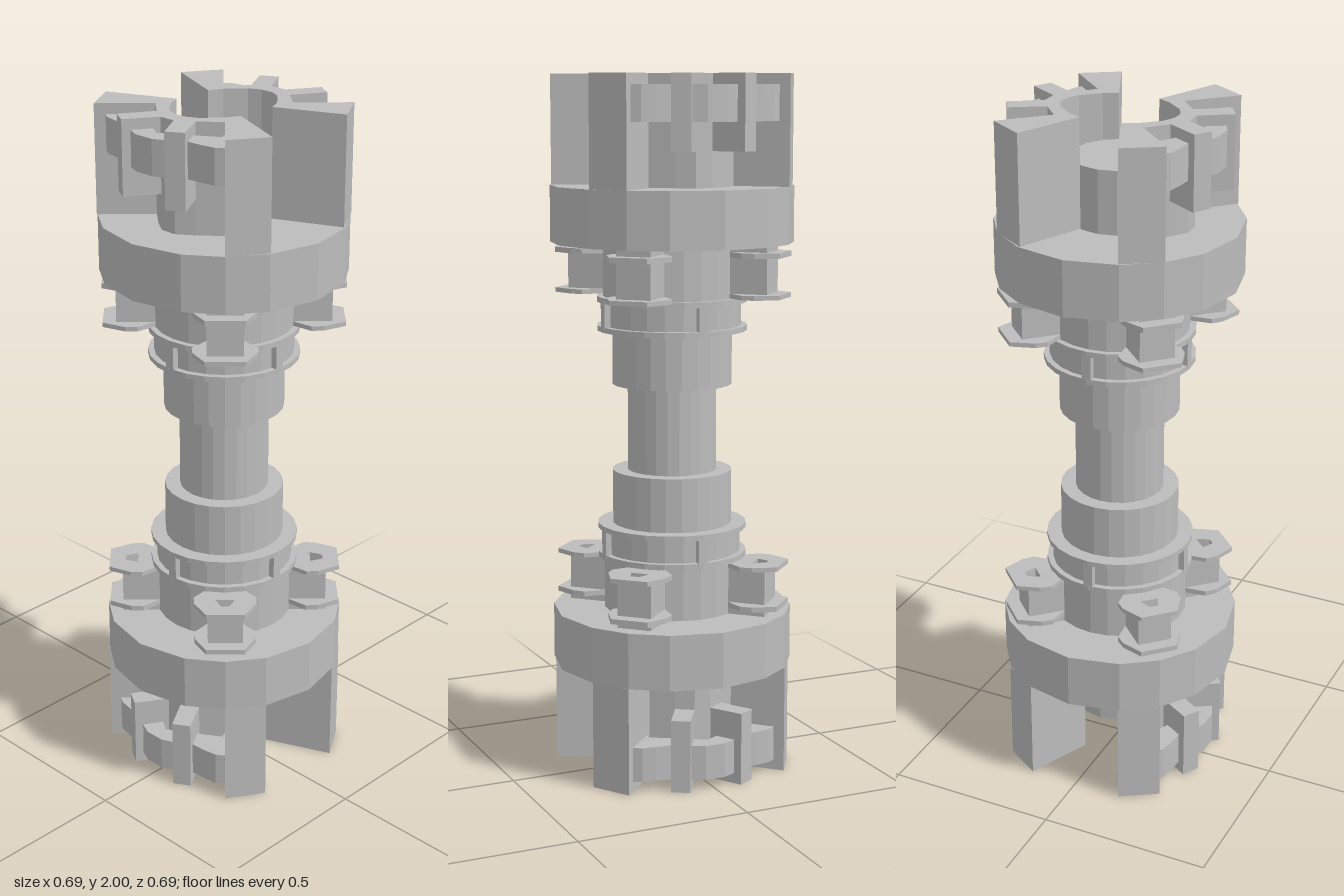
import * as THREE from 'three';

const steel = new THREE.MeshStandardMaterial({ color: 0xbcbcbc, flatShading: true });
steel.name = 'grey steel';

// Adds a named mesh to a parent
function add(parent, name, geometry) {
  const mesh = new THREE.Mesh(geometry, steel);
  mesh.name = name;
  parent.add(mesh);
  return mesh;
}

// Upright prism from [x, z] points between two heights, with an optional hole
function prism(points, y0, y1, hole) {
  const toVec = (list) => list.map(([x, z]) => new THREE.Vector2(x, -z));
  const shape = new THREE.Shape(toVec(points));
  if (hole) shape.holes.push(new THREE.Path(toVec(hole)));
  const g = new THREE.ExtrudeGeometry(shape, { depth: y1 - y0, bevelEnabled: false });
  return g.rotateX(-Math.PI / 2).translate(0, y0, 0);
}

// Repeats a half outline across the x axis
const mirrorZ = (half) => [...half, ...half.slice().reverse().map(([x, z]) => [x, -z])];
const flipZ = (list) => list.map(([x, z]) => [x, -z]);

function disc(r, y0, y1, sides = 24) {
  return new THREE.CylinderGeometry(r, r, y1 - y0, sides).translate(0, (y0 + y1) / 2, 0);
}

// Coupling claw: two wedges on a curved inner wall, two bars and three webs
function makeClaw() {
  const claw = new THREE.Group();
  claw.name = 'claw';
  const outer = mirrorZ([[0.06, 0.12], [0.143, 0.31], [0.247, 0.245], [0.13, 0.13], [0.18, 0.072], [0.212, 0.025]]);
  const inner = [[0.1, -0.1], [0.15, -0.055], [0.167, -0.02], [0.167, 0.02], [0.15, 0.055], [0.1, 0.1]];
  add(claw, 'clawWall', prism([...outer, ...inner], 0.69, 1));
  const bar = [[0.18, 0.072], [0.272, 0.127], [0.3, 0.08], [0.212, 0.025]];
  const sideWeb = [[0.14, 0.14], [0.16, 0.148], [0.2, 0.084], [0.25, 0.114], [0.247, 0.16], [0.24, 0.2], [0.225, 0.223]];
  for (const flip of [(p) => p, flipZ]) {
    add(claw, 'clawBar', prism(flip(bar), 0.79, 1));
    add(claw, 'sideWeb', prism(flip(sideWeb), 0.87, 0.97));
  }
  const midWeb = [[0.228, 0.035], [0.28, 0.067], [0.297, 0.03], [0.297, -0.03], [0.28, -0.067], [0.228, -0.035], [0.25, 0]];
  add(claw, 'middleWeb', prism(midWeb, 0.87, 0.97));
  return claw;
}

// Spool-shaped lug: a hollow block between two six-sided plates
function makeLug() {
  const lug = new THREE.Group();
  lug.name = 'lug';
  const hole = [[0.255, 0.027], [0.255, -0.027], [0.292, -0.012], [0.292, 0.012]];
  const plate = mirrorZ([[0.19, 0.05], [0.24, 0.09], [0.275, 0.088], [0.338, 0.055]]);
  const block = mirrorZ([[0.18, 0.05], [0.3, 0.05]]);
  add(lug, 'lugBlock', prism(block, 0.386, 0.535, hole));
  add(lug, 'lugInnerPlate', prism(plate, 0.38, 0.393, hole));
  add(lug, 'lugOuterPlate', prism(plate, 0.495, 0.51, hole));
  return lug;
}

// One end of the coupling, from the middle of the shaft outwards
function makeEnd() {
  const end = new THREE.Group();
  add(end, 'shaft', disc(0.128, 0, 0.14));
  add(end, 'collar', disc(0.172, 0.125, 0.285));
  add(end, 'neck', disc(0.198, 0.285, 0.54));

  // Framed ring with four recessed panels
  add(end, 'ringLowerBand', disc(0.215, 0.28, 0.295));
  add(end, 'ringUpperBand', disc(0.215, 0.362, 0.378));
  for (let i = 0; i < 4; i++) {
    const bar = add(end, 'ringBar', new THREE.BoxGeometry(0.06, 0.08, 0.028).translate(0.184, 0.33, 0));
    bar.rotation.y = i * Math.PI / 2;
    const lug = makeLug();
    lug.rotation.y = Math.PI / 4 + i * Math.PI / 2;
    end.add(lug);
  }

  // Flange with unevenly spaced corners
  const corners = [];
  for (let q = 0; q < 4; q++) {
    for (const deg of [0, 25.3, 45, 64.7]) {
      const a = THREE.MathUtils.degToRad(deg + q * 90);
      corners.push([0.346 * Math.cos(a), 0.346 * Math.sin(a)]);
    }
  }
  add(end, 'flange', prism(corners, 0.53, 0.69));
  add(end, 'centrePost', disc(0.136, 0.68, 0.87, 16));

  for (const turn of [0, Math.PI]) {
    const claw = makeClaw();
    claw.rotation.y = turn;
    end.add(claw);
  }
  return end;
}

export function createModel() {
  const model = new THREE.Group();
  model.name = 'shaftCoupling';
  const upper = makeEnd();
  upper.name = 'upperEnd';
  const lower = makeEnd();
  lower.name = 'lowerEnd';
  lower.rotation.x = Math.PI;
  upper.position.y = lower.position.y = 1;
  model.add(upper, lower);
  return model;
}
